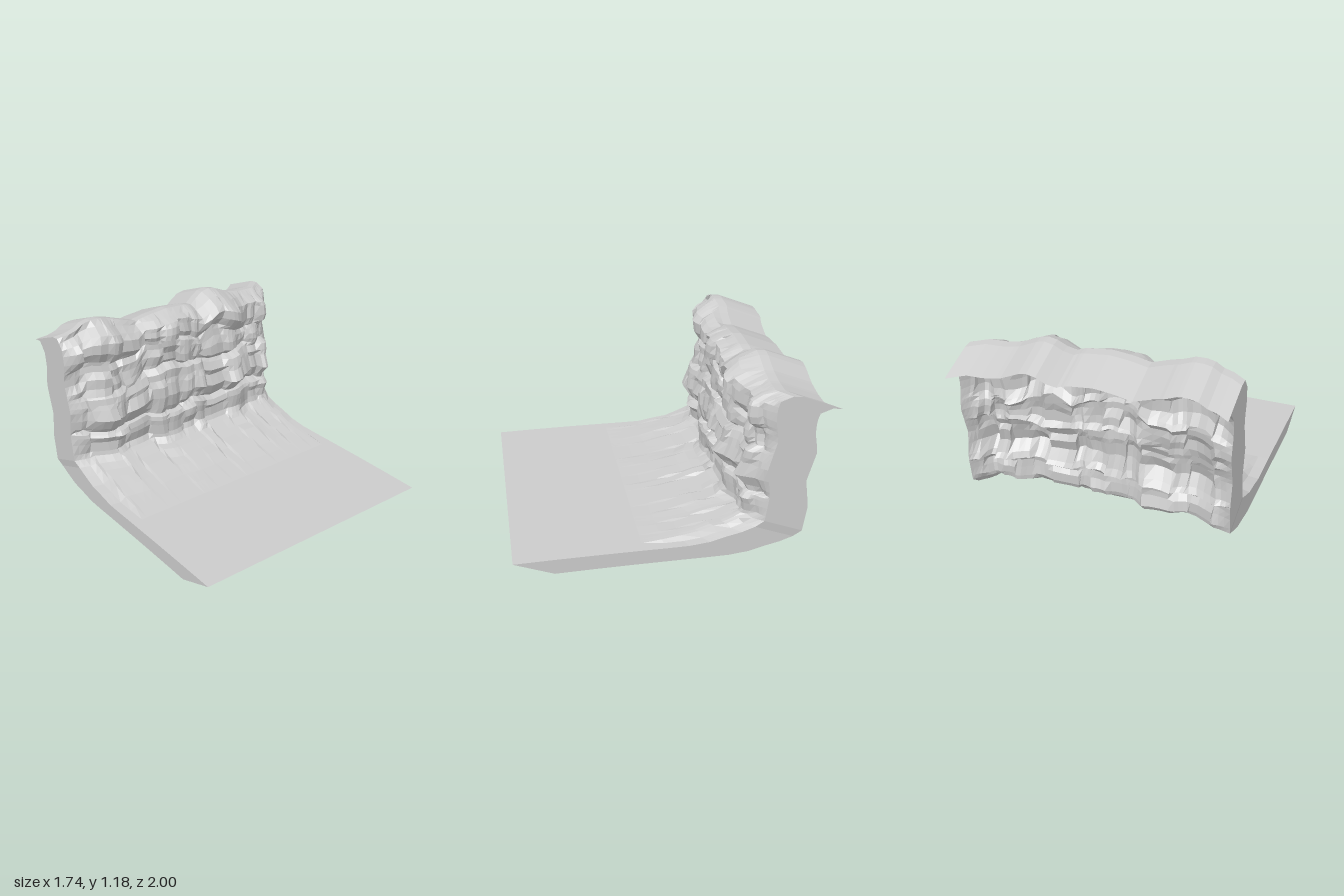
import * as THREE from 'three';

const material = new THREE.MeshStandardMaterial({ color: 0xcccccc, flatShading: true });
const SHIFT = new THREE.Vector3(0, -0.1, -0.25); // the sheet is swept along this to give it thickness

// Piecewise linear curve through [x, value] points
function curve(points) {
  return x => {
    if (x <= points[0][0]) return points[0][1];
    for (let i = 1; i < points.length; i++) {
      const [x0, a] = points[i - 1], [x1, b] = points[i];
      if (x <= x1) return a + (b - a) * (x - x0) / (x1 - x0);
    }
    return points[points.length - 1][1];
  };
}

// Repeatable noise, -1..1
function hash(a, b) {
  const s = Math.sin(a * 127.1 + b * 311.7 + 4.2) * 43758.5453;
  return (s - Math.floor(s)) * 2 - 1;
}

// Heights of the rock ledges and of the cliff top along x
const ledges = [
  () => 0.24,
  curve([[-0.88, 0.44], [-0.7, 0.42], [-0.5, 0.41], [-0.35, 0.43], [-0.1, 0.42], [0.1, 0.45], [0.2, 0.41], [0.5, 0.43], [0.87, 0.4]]),
  curve([[-0.88, 0.68], [-0.5, 0.69], [-0.3, 0.73], [-0.2, 0.76], [-0.1, 0.77], [0, 0.73], [0.15, 0.74], [0.2, 0.71], [0.4, 0.69], [0.55, 0.73], [0.87, 0.71]]),
  curve([[-0.88, 0.87], [-0.7, 0.92], [-0.5, 0.89], [-0.35, 0.89], [-0.28, 0.96], [-0.1, 0.96], [0.05, 0.93], [0.18, 0.87], [0.28, 0.94], [0.4, 0.91], [0.55, 0.85], [0.8, 0.88], [0.87, 0.86]]),
  curve([[-0.88, 1.11], [-0.74, 1.15], [-0.68, 1.19], [-0.58, 1.19], [-0.45, 1.15], [-0.3, 1.1], [-0.2, 1.12], [-0.05, 1.135], [0.12, 1.12], [0.18, 1.1], [0.32, 1.18], [0.4, 1.165], [0.53, 1.11], [0.65, 1.09], [0.86, 1.085]]),
];

// How strongly each ledge is undercut along x; where it is 0 the wall follows plainWall
const strength = [
  curve([[-0.88, 0], [-0.76, 1], [0.78, 1], [0.86, 0]]),
  curve([[-0.88, 0], [-0.72, 0.9], [-0.35, 0.9], [-0.25, 0.5], [0, 0.5], [0.12, 1], [0.78, 0.9], [0.86, 0]]),
  curve([[-0.88, 0], [-0.4, 0.15], [-0.28, 1], [0.55, 1], [0.66, 0.5], [0.78, 0.3], [0.86, 0]]),
  curve([[-0.88, 0], [-0.78, 1], [-0.36, 1], [-0.25, 0.4], [0.1, 0.3], [0.2, 1], [0.56, 1], [0.66, 0.4], [0.86, 0]]),
  curve([[-0.88, 0], [-0.78, 1], [0.78, 1], [0.86, 0]]),
];
const plainWall = curve([[0.24, -0.41], [0.42, -0.435], [0.6, -0.41], [0.8, -0.465], [0.95, -0.44], [1.05, -0.455], [1.12, -0.52]]);

// How far the wall stands out or back along x
const bulge = curve([[-0.88, -0.09], [-0.7, -0.02], [-0.6, 0.03], [-0.5, -0.01], [-0.3, -0.03], [-0.2, 0.03], [0.15, 0.02], [0.3, 0.01], [0.48, 0.03], [0.55, -0.02], [0.75, -0.02], [0.86, -0.15]]);
const topEdge = curve([[-0.88, -0.66], [-0.81, -0.63], [-0.57, -0.63], [-0.5, -0.645], [-0.45, -0.63], [-0.1, -0.62], [0.15, -0.63], [0.25, -0.67], [0.76, -0.67], [0.86, -0.75]]);

// Ground rows [z, y, share of bulge], wall rows [ledge, way to the next ledge, z]
const floorRows = [[1, 0.11, 0], [0.76, 0.112, 0], [0.5, 0.112, 0], [0.2, 0.11, 0], [0.08, 0.125, 0.2], [-0.03, 0.14, 0.4],
  [-0.13, 0.16, 0.6], [-0.22, 0.18, 0.7], [-0.3, 0.2, 0.8], [-0.37, 0.22, 0.9]];
const wallRows = [[0, 0, -0.41], [0, 0.2, -0.43], [0, 0.55, -0.42], [0, 0.78, -0.405], [0, 0.94, -0.415],
  [1, 0.01, -0.465], [1, 0.13, -0.44], [1, 0.38, -0.385], [1, 0.65, -0.41], [1, 0.78, -0.42], [1, 0.94, -0.44],
  [2, 0.03, -0.49], [2, 0.2, -0.465], [2, 0.5, -0.455], [2, 0.75, -0.47], [2, 0.94, -0.49],
  [3, 0.06, -0.465], [3, 0.28, -0.42], [3, 0.55, -0.42], [3, 0.72, -0.455], [3, 0.88, -0.52]];

// Columns of boulders, split by vertical cracks
const cuts = [-0.88, -0.76, -0.58, -0.48, -0.29, -0.17, -0.04, 0.08, 0.16, 0.36, 0.48, 0.6, 0.7, 0.79, 0.86];
const columns = [];
for (let b = 0; b < cuts.length - 1; b++) {
  const first = b === 0, last = b === cuts.length - 2;
  const x0 = cuts[b] + (first ? 0 : 0.011), x1 = cuts[b + 1] - (last ? 0 : 0.011);
  for (let k = 0; k <= 3; k++) columns.push({ x: x0 + (x1 - x0) * k / 3, block: b, crack: (k === 0 && !first) || (k === 3 && !last) });
}

// Rows of points running from the ground's front edge up to the cliff top
function makeRows() {
  const rows = floorRows.map(([z, y, share], r) => columns.map(({ x, block }) => {
    const rough = share * 0.012 * hash(block, r);
    const sag = Math.abs(x) > 0.8 ? 0.16 * share * (1 - share) : 0;
    return new THREE.Vector3(x * 0.99, Math.max(0.108, y + rough - sag), z + share * bulge(x));
  }));
  wallRows.forEach(([seg, t, z], r) => rows.push(columns.map(({ x, block, crack }) => {
    const low = ledges[seg](x), high = ledges[seg + 1](x);
    const fade = strength[4](x);
    const y = low + (high - low) * t + fade * 0.008 * hash(block, r + 50);
    const inner = seg > 0 && t < 0.7 ? 1 : 0.5;
    const push = 0.024 * hash(block, seg + 20) * inner + 0.013 * hash(block, r) - (crack ? 0.014 * inner : 0);
    const wiggle = fade * 0.012 * Math.sin(r * 0.9 + block * 2);
    const cut = strength[t > 0.7 ? seg + 1 : seg](x);
    const depth = THREE.MathUtils.lerp(plainWall(y), z, cut);
    return new THREE.Vector3(x + wiggle, y, depth + bulge(x) + fade * push);
  })));
  rows.push(columns.map(({ x }) => new THREE.Vector3(x, ledges[4](x), topEdge(x) + 0.06)));
  rows.push(columns.map(({ x }) => new THREE.Vector3(x, ledges[4](x) - 0.008, topEdge(x))));
  return rows;
}

function meshFromQuads(name, quads) {
  const positions = [];
  for (const [a, b, c, d] of quads) for (const p of [a, b, c, a, c, d]) positions.push(p.x, p.y, p.z);
  const geometry = new THREE.BufferGeometry();
  geometry.setAttribute('position', new THREE.Float32BufferAttribute(positions, 3));
  geometry.computeVertexNormals();
  const mesh = new THREE.Mesh(geometry, material);
  mesh.name = name;
  return mesh;
}

export function createModel() {
  const group = new THREE.Group();
  group.name = 'rockCliff';
  const rows = makeRows();
  const back = p => p.clone().add(SHIFT);
  const ground = [], cliff = [], backFace = [], rim = [];

  // Ground and cliff face, with the same relief seen from behind
  for (let j = 0; j < rows.length - 1; j++) {
    for (let i = 0; i < columns.length - 1; i++) {
      const quad = [rows[j][i], rows[j][i + 1], rows[j + 1][i + 1], rows[j + 1][i]];
      (j < floorRows.length ? ground : cliff).push(quad);
      backFace.push(quad.map(back).reverse());
    }
  }

  // Rim closing the edges all the way round
  const border = [
    ...rows[0],
    ...rows.slice(1).map(row => row[row.length - 1]),
    ...rows[rows.length - 1].slice(0, -1).reverse(),
    ...rows.slice(1, -1).map(row => row[0]).reverse(),
  ];
  border.forEach((p, k) => {
    const q = border[(k + 1) % border.length];
    rim.push([back(p), back(q), q, p]);
  });

  group.add(
    meshFromQuads('ground', ground),
    meshFromQuads('cliffFace', cliff),
    meshFromQuads('backFace', backFace),
    meshFromQuads('rim', rim),
  );
  return group;
}
